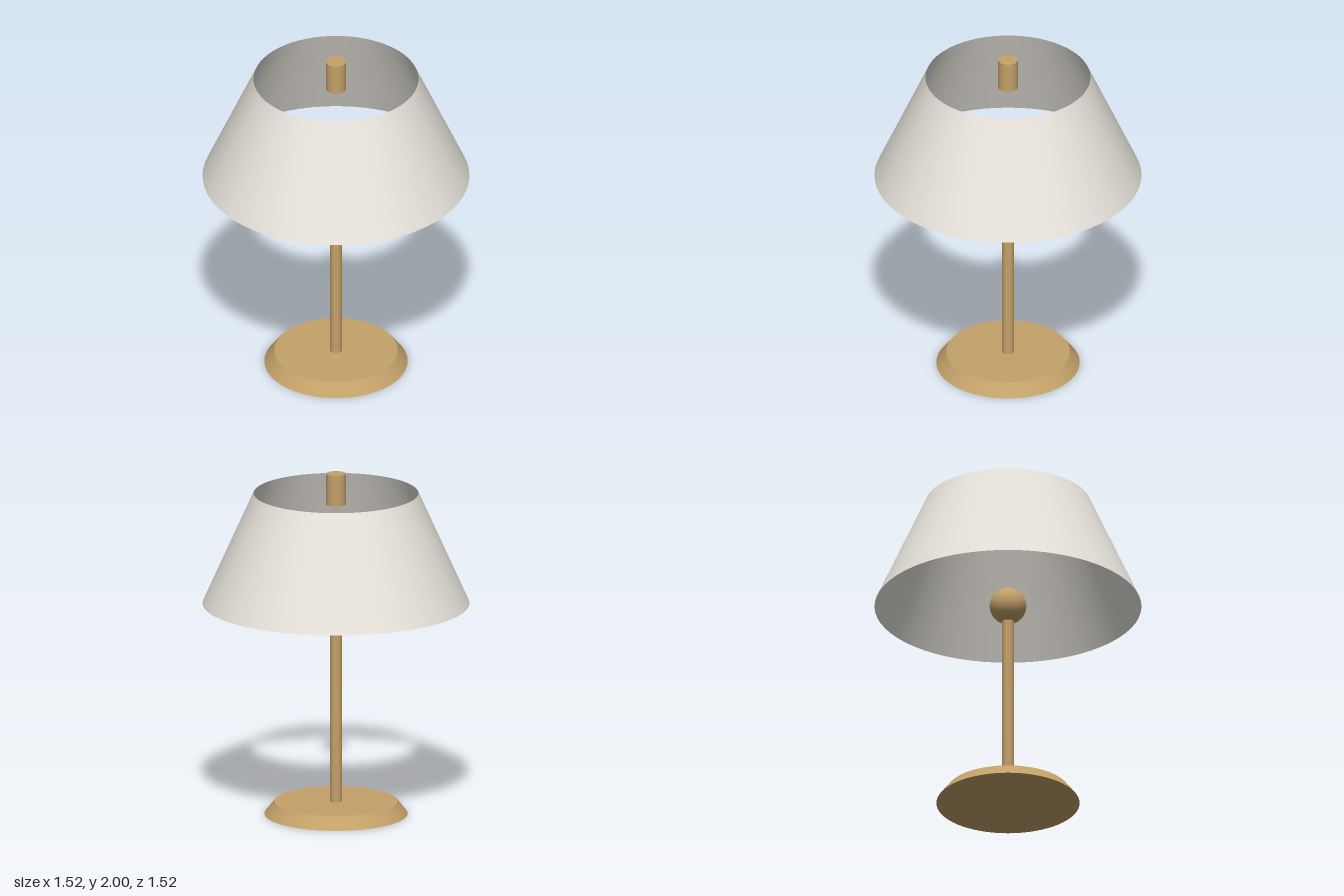
import * as THREE from 'three';

export function createModel() {
  const lamp = new THREE.Group();
  lamp.name = 'tableLamp';
  const brass = new THREE.MeshStandardMaterial({ color: 0xc4a169 });
  const fabric = new THREE.MeshStandardMaterial({ color: 0xe8e4dc, side: THREE.DoubleSide });

  const add = (name, geometry, material, y) => {
    const mesh = new THREE.Mesh(geometry, material);
    mesh.name = name;
    mesh.position.y = y;
    lamp.add(mesh);
  };
  // Round part spanning bottom to top, placed by its heights
  const round = (name, rTop, rBottom, bottom, top, material, segments, open = false) =>
    add(name, new THREE.CylinderGeometry(rTop, rBottom, top - bottom, segments, 1, open),
      material, (bottom + top) / 2);

  // Bevelled foot and slim stem, ending inside the ball
  round('base', 0.352, 0.409, 0, 0.073, brass, 64);
  round('stem', 0.034, 0.034, 0.073, 1.2, brass, 32);

  // Ball joint at the top of the stem
  add('ball', new THREE.SphereGeometry(0.105, 40, 24), brass, 1.24);

  // Open conical shade
  round('shade', 0.471, 0.762, 1.238, 1.885, fabric, 64, true);

  // Short finial rising through the shade's opening
  round('finial', 0.057, 0.057, 1.82, 2, brass, 32);

  return lamp;
}
